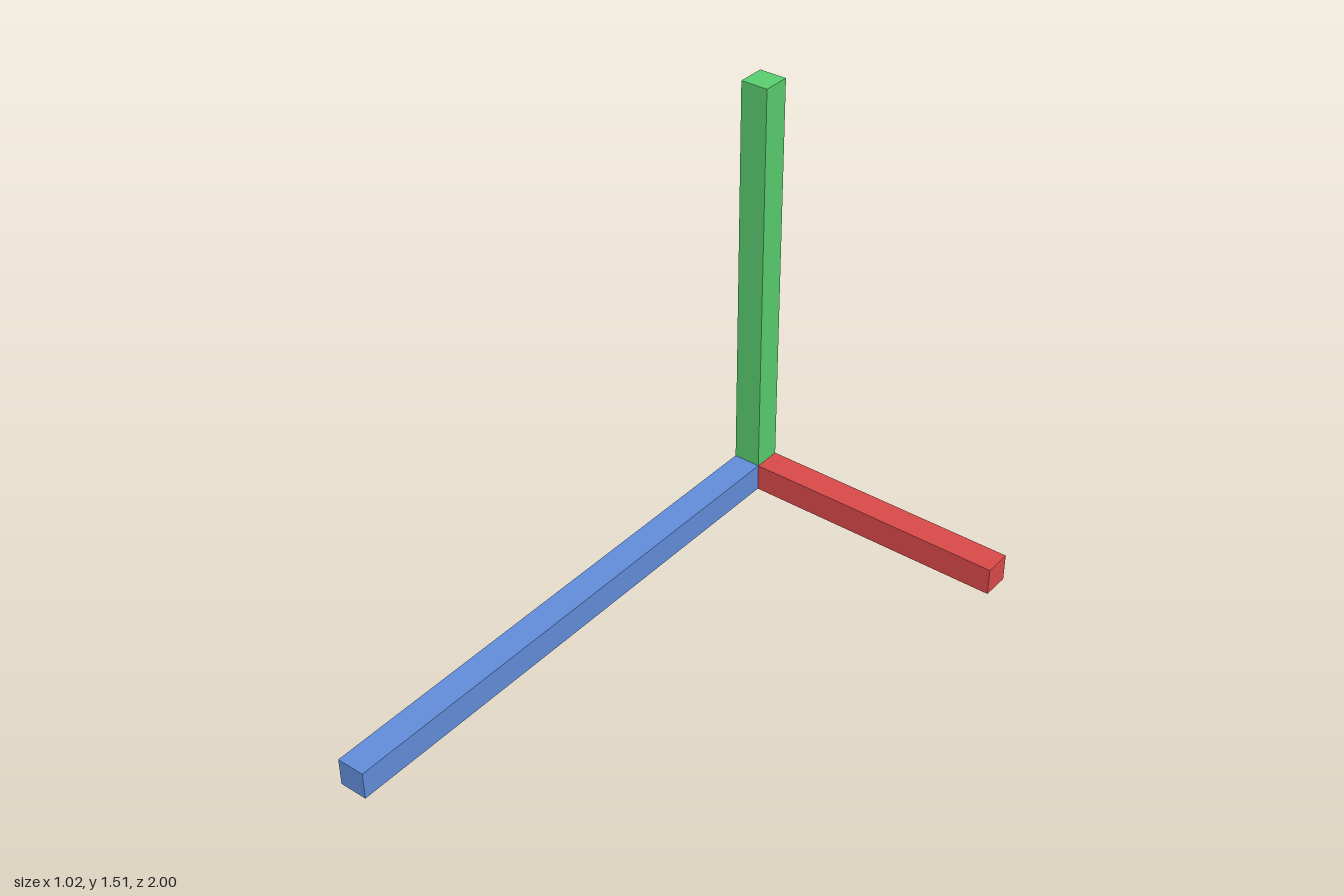
import * as THREE from 'three';

const UNIT = 2 / 2.05;   // length of the shortest bar
const T = UNIT * 0.1;    // bar thickness

// Square bar running from the origin along one axis
function axisBar(name, axis, length, color) {
  const size = new THREE.Vector3(T, T, T).setComponent(axis, length);
  const bar = new THREE.Mesh(
    new THREE.BoxGeometry(size.x, size.y, size.z),
    new THREE.MeshStandardMaterial({ color })
  );
  bar.position.setComponent(axis, length / 2);
  bar.name = name;
  return bar;
}

export function createModel() {
  const group = new THREE.Group();
  group.name = 'axisTripod';

  // Three bars share a start point at the middle of the corner
  const bars = new THREE.Group();
  bars.name = 'axisBars';
  bars.add(
    axisBar('xAxisBar', 0, UNIT, 0xdd4b4b),
    axisBar('yAxisBar', 1, UNIT * 1.5, 0x5bcf70),
    axisBar('zAxisBar', 2, UNIT * 2, 0x638fdd)
  );

  // Centre on x and z, stand on the ground
  bars.position.set(-(UNIT - T / 2) / 2, T / 2, -(UNIT * 2 - T / 2) / 2);
  group.add(bars);
  return group;
}
